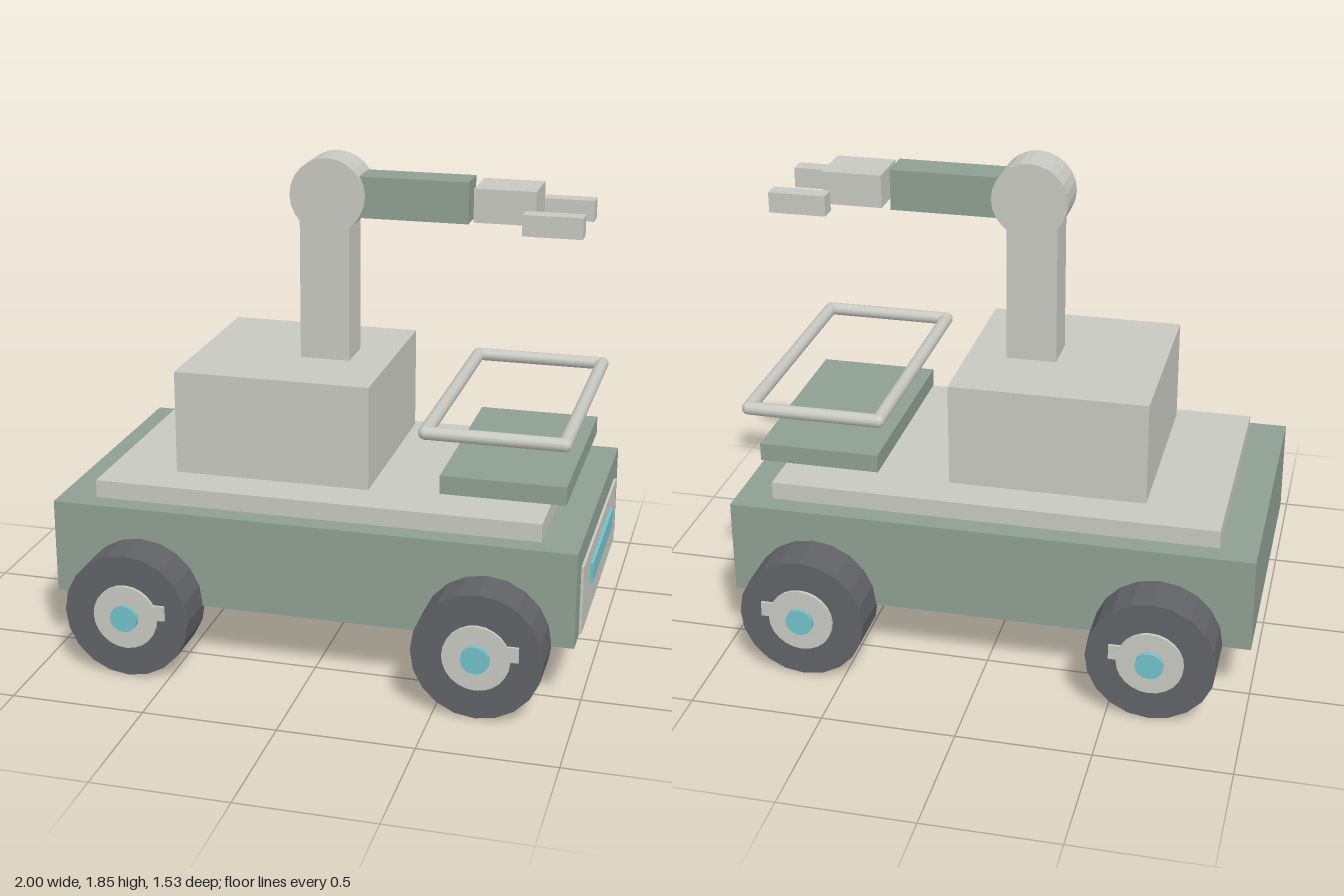
import * as THREE from 'three';

const mat = (name, color) => {
  const m = new THREE.MeshStandardMaterial({ color });
  m.name = name;
  return m;
};

export function createModel() {
  const green = mat('sage green', 0x8e9f92);
  const grey = mat('warm light grey', 0xc8c8c2);
  const rubber = mat('dark rubber', 0x606266);
  const cyan = mat('cyan light', 0x73c1c9);
  rubber.flatShading = true;

  const model = new THREE.Group();
  model.name = 'roverWithArm';

  const add = (name, geometry, material, parent = model) => {
    const mesh = new THREE.Mesh(geometry, material);
    mesh.name = name;
    parent.add(mesh);
    return mesh;
  };
  // Box given by its extents on each axis
  const box = (name, material, [x0, x1], [y0, y1], [z0, z1], parent) => {
    const mesh = add(name, new THREE.BoxGeometry(x1 - x0, y1 - y0, z1 - z0), material, parent);
    mesh.position.set((x0 + x1) / 2, (y0 + y1) / 2, (z0 + z1) / 2);
    return mesh;
  };
  // Faceted cylinder lying along z, centred on its own middle
  const disc = (radius, depth, sides) =>
    new THREE.CylinderGeometry(radius, radius, depth, sides).rotateX(Math.PI / 2).toNonIndexed();
  const facet = (geometry) => {
    geometry.computeVertexNormals();
    return geometry;
  };

  // Chassis and deck
  box('chassis', green, [-1, 0.976], [0.235, 0.597], [-0.565, 0.565]);
  box('deck', grey, [-0.86, 0.835], [0.597, 0.665], [-0.485, 0.485]);

  // End panel with its light bar
  box('endPanel', grey, [0.974, 0.986], [0.243, 0.505], [-0.456, 0.456]);
  box('lightBar', cyan, [0.985, 0.998], [0.37, 0.447], [-0.283, 0.283]);

  // Equipment housing and cargo tray
  box('housing', grey, [-0.573, 0.172], [0.69, 1.085], [-0.382, 0.382]);
  box('cargoTray', green, [0.443, 0.906], [0.71, 0.78], [-0.4, 0.4]);

  // Rail frame over the tray
  const rail = new THREE.Group();
  rail.name = 'railFrame';
  model.add(rail);
  const [railX0, railX1, railZ, railY, railR] = [0.407, 0.905, 0.492, 0.973, 0.025];
  for (const s of [-1, 1]) {
    const long = add('sideRail', new THREE.CylinderGeometry(railR, railR, railX1 - railX0, 12).rotateZ(Math.PI / 2), grey, rail);
    long.position.set((railX0 + railX1) / 2, railY, s * railZ);
    const cross = add('crossRail', new THREE.CylinderGeometry(railR, railR, railZ * 2, 12).rotateX(Math.PI / 2), grey, rail);
    cross.position.set(s < 0 ? railX0 : railX1, railY, 0);
    for (const x of [railX0, railX1]) {
      add('railCorner', new THREE.SphereGeometry(railR, 12, 8), grey, rail).position.set(x, railY, s * railZ);
    }
  }

  // Robot arm
  const arm = new THREE.Group();
  arm.name = 'robotArm';
  model.add(arm);
  box('armColumn', grey, [-0.171, 0.02], [1.085, 1.7], [-0.081, 0.081], arm);
  add('shoulderJoint', facet(disc(0.143, 0.168, 24)), grey, arm).position.set(-0.066, 1.712, 0);
  box('forearm', green, [0.04, 0.463], [1.635, 1.79], [-0.068, 0.068], arm);
  box('gripperPalm', grey, [0.488, 0.715], [1.65, 1.775], [-0.098, 0.098], arm);
  for (const s of [-1, 1]) {
    const z = s * 0.147;
    box('gripperFinger', grey, [0.68, 0.897], [1.63, 1.708], [z - 0.034, z + 0.034], arm);
  }

  // Wheels: tyre, hub, hub tab and lit cap
  for (const x of [-0.657, 0.655]) {
    for (const s of [-1, 1]) {
      const wheel = new THREE.Group();
      wheel.name = 'wheel';
      wheel.position.set(x, 0.242, 0);
      model.add(wheel);
      add('tyre', disc(0.239, 0.195, 20), rubber, wheel).position.z = s * 0.6375;
      add('hub', facet(disc(0.123, 0.03, 24)), grey, wheel).position.z = s * 0.733;
      const tab = box('hubTab', grey, [0, 0.152], [0, 0.057], [-0.012, 0.012], wheel);
      tab.position.z = s * 0.733;
      add('hubCap', facet(disc(0.052, 0.03, 16)), cyan, wheel).position.z = s * 0.75;
    }
  }

  return model;
}
